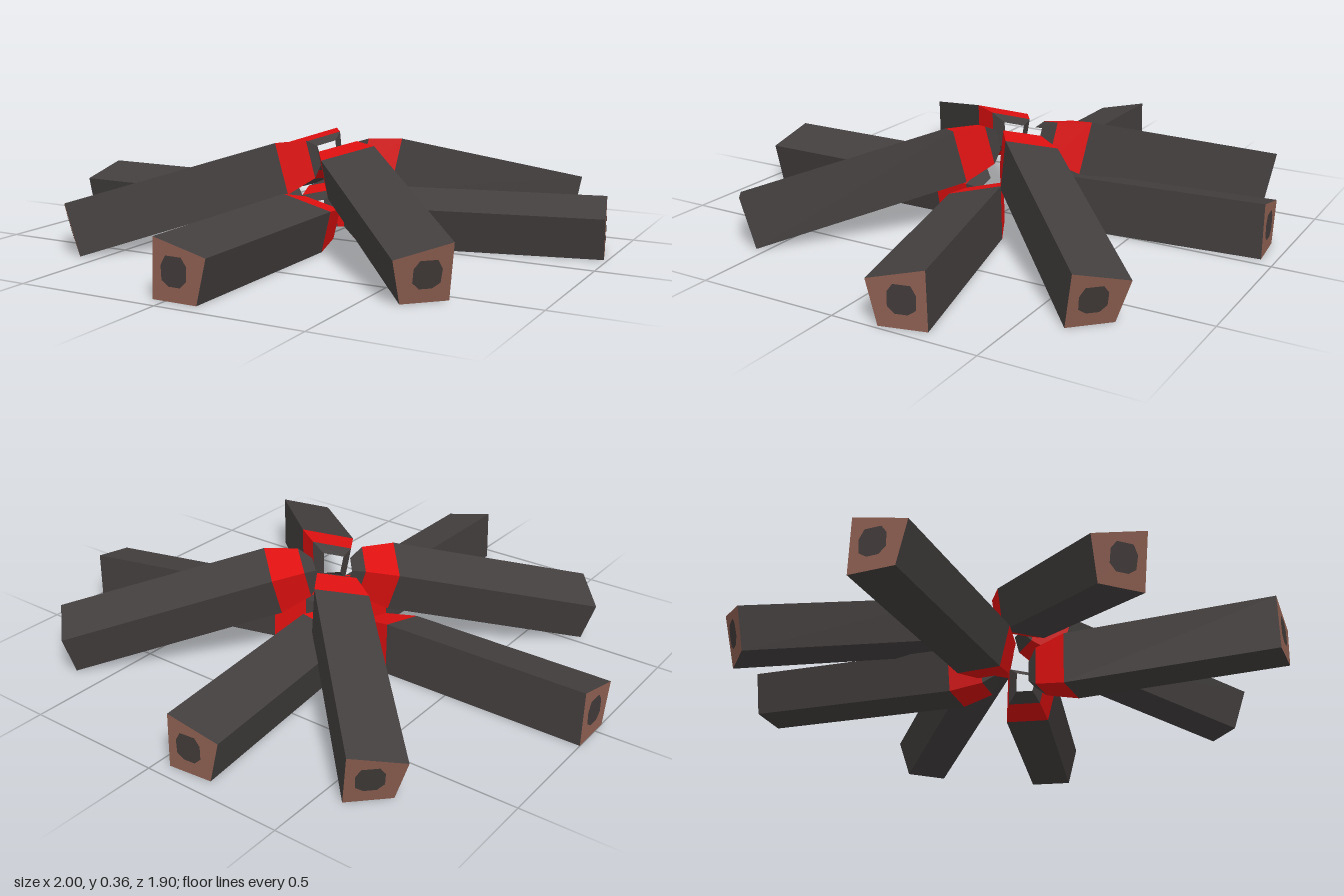
import * as THREE from 'three';

const material = (name, color) => {
  const m = new THREE.MeshStandardMaterial({ color, flatShading: true });
  m.name = name;
  return m;
};

// Cross-section of a log, counter-clockwise seen from its sawn end
const PROFILE = [[-0.095, 0], [0.06, 0], [0.095, 0.145], [-0.09, 0.19]];
const CORE = [[-0.045, -0.03], [-0.02, -0.047], [0.02, -0.047], [0.043, -0.025],
  [0.043, 0.02], [0.025, 0.045], [-0.03, 0.045], [-0.047, 0.015]];
const CENTRE = [0, 0.09];
const TILT = THREE.MathUtils.degToRad(13.5);

// Flip an outline left to right, keeping it counter-clockwise
const orient = (points, mirrored) =>
  mirrored ? points.map(([x, y]) => [-x, y]).reverse() : points;

// Walls between scaled copies of the profile; each ring is [depth, scale]
function loft(profile, rings) {
  const loops = rings.map(([depth, s]) => profile.map(([x, y]) => [
    CENTRE[0] + (x - CENTRE[0]) * s, CENTRE[1] + (y - CENTRE[1]) * s, -depth]));
  const positions = [];
  for (let r = 0; r + 1 < loops.length; r++) {
    const a = loops[r], b = loops[r + 1];
    for (let i = 0; i < a.length; i++) {
      const j = (i + 1) % a.length;
      positions.push(...a[i], ...b[i], ...b[j]);
      if (rings[r + 1][1] > 0) positions.push(...a[i], ...b[j], ...a[j]);
      else continue;
    }
  }
  const g = new THREE.BufferGeometry();
  g.setAttribute('position', new THREE.Float32BufferAttribute(positions, 3));
  g.computeVertexNormals();
  return g;
}

const flat = (points) =>
  new THREE.ShapeGeometry(new THREE.Shape(points.map(([x, y]) => new THREE.Vector2(x, y))));

export function createModel() {
  const model = new THREE.Group();
  model.name = 'campfireLogs';

  const bark = material('charredBark', 0x443f3f);
  const ember = material('glowingEmber', 0xe01010);
  const wood = material('sawnWood', 0x8f6052);
  const heart = material('darkHeartwood', 0x423c3a);

  function makeLog(name, x, z, degrees, mirrored, tilted) {
    const log = new THREE.Group();
    log.name = name;
    const profile = orient(PROFILE, mirrored);
    const add = (part, geometry, mat) => {
      const mesh = new THREE.Mesh(geometry, mat);
      mesh.name = part;
      log.add(mesh);
      return mesh;
    };
    add('bark', loft(profile, [[0, 1], [0.745, 1]]), bark);
    add('emberBand', loft(profile, [[0.745, 1], [0.86, 0.74]]), ember);
    add('burntTip', loft(profile, [[0.86, 0.74], [0.9, 0.38], [0.905, 0]]), bark);
    add('sawnEnd', flat(profile), wood);
    const spot = orient(CORE, mirrored);
    add('heartwood', flat(spot), heart).position.set(mirrored ? 0.015 : -0.015, 0.093, 0.002);

    // Tilted logs lean up towards the middle of the fire
    log.rotation.order = 'YXZ';
    log.rotation.set(tilted ? TILT : 0, THREE.MathUtils.degToRad(degrees), 0);
    log.position.set(x, 0, z);
    model.add(log);
  }

  // Logs lying on the ground: name, x, z, heading, mirrored
  [
    ['frontLog', 0.05, 0.945, 0, false],
    ['rightLog', -1.0, -0.01, -90, false],
    ['leftLog', 0.973, -0.215, 104, true],
    ['backLog', -0.138, -0.943, 185.5, false],
  ].forEach((l) => makeLog(...l, false));

  // Logs leaning over them
  [
    ['frontRightLeaningLog', -0.64, 0.58, -45, true],
    ['frontLeftLeaningLog', 0.655, 0.605, 45, true],
    ['backLeftLeaningLog', 0.663, -0.695, 135, false],
    ['backRightLeaningLog', -0.643, -0.717, 225, false],
  ].forEach((l) => makeLog(...l, true));

  return model;
}
